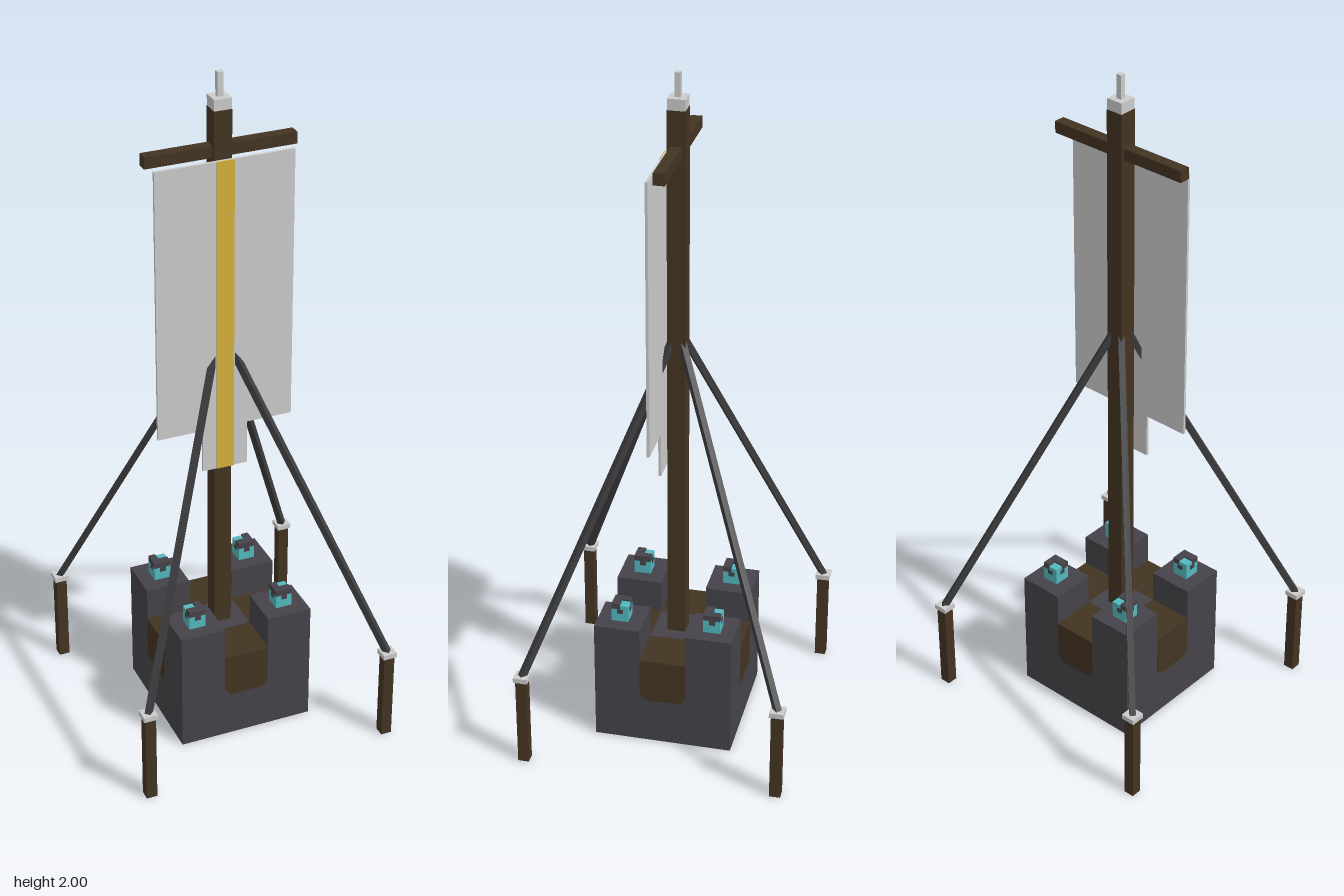
import * as THREE from 'three';

const mat = (name, color) => {
  const m = new THREE.MeshStandardMaterial({ color });
  m.name = name;
  return m;
};

export function createModel() {
  const root = new THREE.Group();
  root.name = 'bannerPole';
  const stone = mat('dark stone', 0x454349);
  const wood = mat('dark wood', 0x433422);
  const pale = mat('pale cloth and metal', 0xcacbca);
  const gold = mat('gold', 0xd4b03a);
  const teal = mat('teal crystal', 0x52b9be);
  const rope = mat('rope', 0x3d3d40);

  // Box given by its minimum and maximum corners
  const box = (name, m, x0, x1, y0, y1, z0, z1, parent = root) => {
    const mesh = new THREE.Mesh(new THREE.BoxGeometry(x1 - x0, y1 - y0, z1 - z0), m);
    mesh.position.set((x0 + x1) / 2, (y0 + y1) / 2, (z0 + z1) / 2);
    mesh.name = name;
    parent.add(mesh);
    return mesh;
  };
  const corners = [[-1, -1], [1, -1], [-1, 1], [1, 1]];

  // Stone base
  const B = 0.203, W = 0.068, floor = 0.274;
  box('baseBlock', stone, -B, B, 0, floor, -B, B);
  for (const [sx, sz] of corners) {
    const cx = sx * (B + W) / 2, cz = sz * (B + W) / 2, h = (B - W) / 2;
    box('baseTower', stone, cx - h, cx + h, floor, 0.375, cz - h, cz + h);
  }

  // Wooden channel: chamfered panel on each side and floor leading to the middle
  const panel = new THREE.Shape([
    [-W, 0.276], [-W, 0.16], [-0.05, 0.14], [0.05, 0.14], [W, 0.16], [W, 0.276],
  ].map(([x, y]) => new THREE.Vector2(x, y)));
  const panelGeo = new THREE.ExtrudeGeometry(panel, { depth: B + 0.001 - W, bevelEnabled: false });
  panelGeo.translate(0, 0, W);
  for (let i = 0; i < 4; i++) {
    const beam = new THREE.Mesh(panelGeo, wood);
    beam.name = 'channelBeam';
    beam.rotation.y = i * Math.PI / 2;
    root.add(beam);
  }
  box('mastSocket', stone, -W, W, floor, 0.276, -W, W);

  // Crystal lamps on the towers
  for (const [sx, sz] of corners) {
    const lamp = new THREE.Group();
    lamp.name = 'crystalLamp';
    lamp.position.set(sx * 0.136, 0.375, sz * 0.136);
    const h = 0.025, s = sx * sz;
    box('crystal', teal, -h, h, 0, 0.04, -h, h, lamp);
    box('lampCapFront', stone, -h, h, 0.04, 0.057, 0, h, lamp);
    const a = s > 0 ? -h : 0.004, b = s > 0 ? -0.004 : h;
    box('lampCapSide', stone, a, b, 0.04, 0.057, -h, 0, lamp);
    box('crystalTip', teal, s > 0 ? -0.004 : -h, s > 0 ? h : 0.004, 0.04, 0.052, -h, 0, lamp);
    // Dark notch on the four sides
    for (let i = 0; i < 4; i++) {
      const side = new THREE.Group();
      side.rotation.y = i * Math.PI / 2;
      box('lampNotch', stone, -0.008, 0.01, 0.026, 0.04, h - 0.001, h + 0.001, side);
      lamp.add(side);
    }
    root.add(lamp);
  }

  // Mast, finial and crossbar
  box('mast', wood, -0.026, 0.026, floor, 1.9, -0.026, 0.026);
  box('mastCap', pale, -0.025, 0.025, 1.9, 1.932, -0.025, 0.025);
  box('finial', pale, -0.008, 0.008, 1.932, 2, -0.008, 0.008);
  box('crossbar', wood, -0.22, 0.22, 1.766, 1.8, -0.016, 0.016);

  // Banner with a narrower tail and a gold stripe
  const cloth = new THREE.Shape([
    [-0.203, 1.765], [-0.203, 0.953], [-W, 0.953], [-W, 0.82],
    [W, 0.82], [W, 0.953], [0.203, 0.953], [0.203, 1.765],
  ].map(([x, y]) => new THREE.Vector2(x, y)));
  const clothGeo = new THREE.ExtrudeGeometry(cloth, { depth: 0.008, bevelEnabled: false });
  const banner = new THREE.Mesh(clothGeo, pale);
  banner.position.z = 0.034;
  banner.name = 'banner';
  root.add(banner);
  box('bannerStripe', gold, -0.026, 0.026, 0.82, 1.765, 0.0415, 0.0445);

  // Stakes and guy ropes
  const up = new THREE.Vector3(0, 1, 0);
  for (const [sx, sz] of corners) {
    const x = sx * 0.372, z = sz * 0.372;
    box('stake', wood, x - 0.016, x + 0.016, 0, 0.275, z - 0.016, z + 0.016);
    box('stakeCap', pale, x - 0.021, x + 0.021, 0.275, 0.29, z - 0.021, z + 0.021);
    const from = new THREE.Vector3(x, 0.285, z);
    const to = new THREE.Vector3(sx * 0.014, 1.222, sz * 0.014);
    const dir = to.clone().sub(from);
    const geo = new THREE.BoxGeometry(0.018, dir.length(), 0.018);
    geo.rotateY(Math.PI / 4);
    const line = new THREE.Mesh(geo, rope);
    line.name = 'guyRope';
    line.position.copy(from).add(to).multiplyScalar(0.5);
    line.quaternion.setFromUnitVectors(up, dir.normalize());
    root.add(line);
  }
  return root;
}
